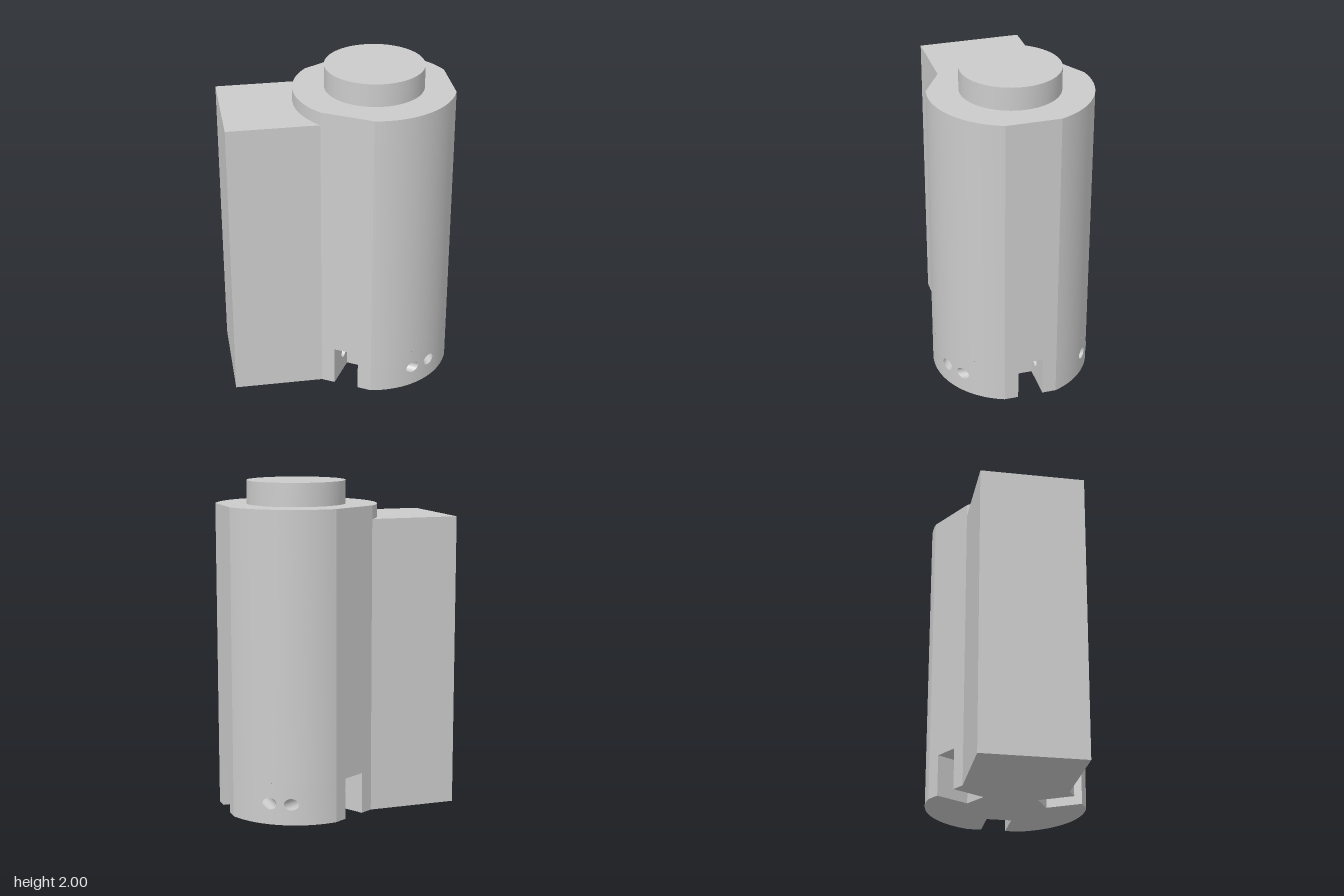
import * as THREE from 'three';
import { mergeGeometries, toCreasedNormals } from 'three/addons/utils/BufferGeometryUtils.js';

const CX = 0.228;             // axis of the round body
const R = 0.485;              // body radius
const F = 0.457;              // axis to each of the three flats
const ZF = Math.sqrt(R * R - F * F); // half width of a flat
const A0 = Math.asin(ZF / R);
const W = 0.077, B = 0.233, H = 0.25; // slot half width, floor radius, height
const HX = 0.297, HY = 0.127, HR = 0.035; // cross bore position and radius
const TOP = 1.86, BOX_TOP = 1.78, BOX_X = -0.685;
const RAD = Math.PI / 180, THIRD = 120 * RAD;
const ARC_STEPS = 24;

const material = new THREE.MeshStandardMaterial({ color: 0xcccccc });

// Turn a point of the slot sector on +x into sector k
function turn(x, z, k) {
  const c = Math.cos(k * THIRD), s = Math.sin(k * THIRD);
  return [CX + x * c - z * s, x * s + z * c];
}

function arcPoints(k) {
  const pts = [];
  for (let i = 0; i <= ARC_STEPS; i++) {
    const a = A0 + (THIRD - 2 * A0) * i / ARC_STEPS;
    pts.push(turn(R * Math.cos(a), R * Math.sin(a), k));
  }
  return pts;
}

const toShape = pts => new THREE.Shape(pts.map(p => new THREE.Vector2(p[0], p[1])));

// Circle with three flats, optionally with a slot in each flat
function bodyShape(slotted) {
  const pts = [];
  for (let k = 0; k < 3; k++) {
    pts.push(turn(F, -ZF, k));
    if (slotted) [[F, -W], [B, -W], [B, W], [F, W]].forEach(([x, z]) => pts.push(turn(x, z, k)));
    pts.push(...arcPoints(k));
  }
  return toShape(pts);
}

function prism(shape, y0, y1) {
  const g = new THREE.ExtrudeGeometry(shape, { depth: y1 - y0, bevelEnabled: false });
  return g.rotateX(-Math.PI / 2).translate(0, y0, 0);
}

// Grid surface from a rule f(u, v) -> [x, y, z], placed in sector k
function patch(f, nu, nv, k, flip) {
  const pos = [];
  const point = (i, j) => {
    const [x, y, z] = f(i / nu, j / nv);
    const [px, pz] = turn(x, z, k);
    return [px, y, pz];
  };
  for (let i = 0; i < nu; i++) for (let j = 0; j < nv; j++) {
    const a = point(i, j), b = point(i + 1, j), c = point(i + 1, j + 1), d = point(i, j + 1);
    pos.push(...(flip ? [a, c, b, a, d, c] : [a, b, c, a, c, d]).flat());
  }
  const g = new THREE.BufferGeometry();
  g.setAttribute('position', new THREE.Float32BufferAttribute(pos, 3));
  return g;
}

// Point on a unit square's border in direction t
function square(t) {
  const c = Math.cos(t), s = Math.sin(t), m = Math.max(Math.abs(c), Math.abs(s));
  return [c / m, s / m];
}

// Half of one slot sector of the lower band, s = side of the slot
function halfSector(k, s, open) {
  const mix = THREE.MathUtils.lerp, out = s > 0;
  const onArc = (a, y) => [R * Math.cos(a), y, s * R * Math.sin(a)];
  const a1 = 45 * RAD, a2 = 60 * RAD;
  const ring = u => {
    const t = u * 2 * Math.PI;
    return { x: HX + HR * Math.cos(t), y: HY + HR * Math.sin(t), q: square(t) };
  };
  const parts = [
    // flat, plain arc and slot floor
    patch((u, v) => [F, v * H, s * mix(W, ZF, u)], 1, 1, k, out),
    patch((u, v) => onArc(mix(A0, a1, u), v * H), 8, 1, k, out),
    patch((u, v) => [B, v * H, s * W * u], 1, 1, k, out),
    // slot side wall around the bore
    patch((u, v) => {
      const { x, y, q } = ring(u);
      return [mix(x, (B + F) / 2 + q[0] * (F - B) / 2, v), mix(y, H / 2 * (1 + q[1]), v), s * W];
    }, 32, 1, k, !out),
    // bore from the slot to the outer surface
    patch((u, v) => {
      const { x, y } = ring(u);
      return [x, y, s * mix(W, Math.sqrt(R * R - x * x), v)];
    }, 32, 1, k, out),
  ];
  // curved panel, pierced where the bore comes out
  parts.push(open
    ? patch((u, v) => {
      const { x, y, q } = ring(u);
      const a = mix(Math.acos(x / R), (a1 + a2) / 2 - q[0] * (a2 - a1) / 2, v);
      return onArc(a, mix(y, H / 2 * (1 + q[1]), v));
    }, 32, 3, k, out)
    : patch((u, v) => onArc(mix(a1, a2, u), v * H), 5, 1, k, out));
  return parts;
}

export function createModel() {
  const model = new THREE.Group();
  const add = (name, geometry) => {
    const mesh = new THREE.Mesh(toCreasedNormals(geometry, 0.3), material);
    mesh.name = name;
    model.add(mesh);
  };

  // Main body above the slots
  add('body', prism(bodyShape(false), H, TOP));

  // Slotted lower band; bores toward the side block are blind
  const band = [];
  for (let k = 0; k < 3; k++) for (const s of [1, -1]) {
    const blind = (k === 1 && s === 1) || (k === 2 && s === -1);
    band.push(...halfSector(k, s, !blind));
  }
  add('slottedBase', mergeGeometries(band));
  add('underside', new THREE.ShapeGeometry(bodyShape(true)).rotateX(Math.PI / 2));

  // Side block, hollowed to fit the round body
  const seat = arcPoints(1);
  const zEdge = Math.abs(seat[0][1]);
  add('sideBlock', prism(toShape([[BOX_X, zEdge], [BOX_X, -zEdge], ...seat.reverse()]), 0, BOX_TOP));

  // Round boss on top
  add('topBoss', new THREE.CylinderGeometry(HX, HX, 2 - TOP, 72).translate(CX, (2 + TOP) / 2, 0));

  return model;
}
